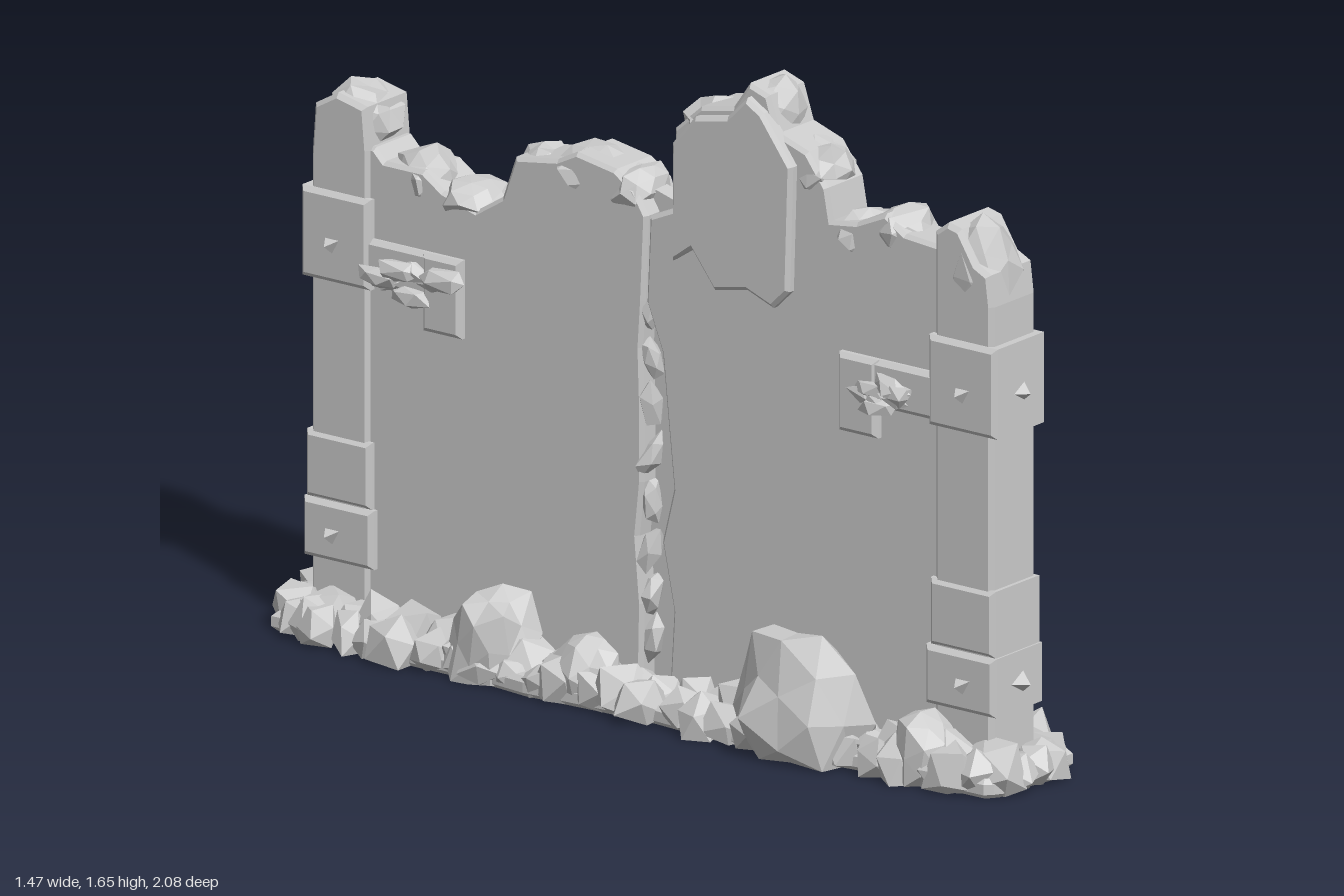
import * as THREE from 'three';

const stone = new THREE.MeshStandardMaterial({ color: 0xcccccc });
stone.name = 'pale grey stone';

let seed = 7;
const rnd = () => (seed = (seed * 16807) % 2147483647) / 2147483647;
const range = (a, b) => a + (b - a) * rnd();

export function createModel() {
  const model = new THREE.Group();
  model.name = 'ruinedWall';
  // Local x runs along the wall, local z through its thickness
  const wall = new THREE.Group();
  wall.name = 'wall';
  wall.rotation.y = -Math.atan2(0.844, 0.536);
  wall.position.set(-0.005, 0, -0.012);
  model.add(wall);

  const add = (name, geometry) => {
    const mesh = new THREE.Mesh(geometry, stone);
    mesh.name = name;
    wall.add(mesh);
    return mesh;
  };

  // Slab with chipped edges, between depths z0 and z1
  const slab = (name, points, z0, z1, bevel = 0.01) => {
    const shape = new THREE.Shape(points.map(([x, y]) => new THREE.Vector2(x, y)));
    const g = new THREE.ExtrudeGeometry(shape, {
      depth: z1 - z0 - 2 * bevel, bevelEnabled: bevel > 0, bevelThickness: bevel,
      bevelSize: bevel, bevelOffset: -bevel, bevelSegments: 1,
    });
    g.translate(0, 0, z0 + bevel);
    return add(name, g);
  };

  // Faceted stone: jittered icosahedron, flattened where it meets the ground
  const rock = (name, x, y, z, sx, sy, sz, detail = 0, rough = 0.3, tilt = 0.4) => {
    const g = new THREE.IcosahedronGeometry(1, detail);
    const p = g.attributes.position, v = new THREE.Vector3(), moved = {};
    const turn = new THREE.Euler(range(-tilt, tilt), range(-tilt, tilt), range(-tilt, tilt));
    const spin = new THREE.Euler(range(0, 3), range(0, 3), 0);
    for (let i = 0; i < p.count; i++) {
      v.fromBufferAttribute(p, i);
      const key = [v.x, v.y, v.z].map((n) => Math.round(n * 100)).join();
      moved[key] ??= range(1 - rough, 1 + rough * 0.5);
      v.multiplyScalar(moved[key]).applyEuler(spin);
      v.set(v.x * sx, v.y * sy, v.z * sz).applyEuler(turn);
      p.setXYZ(i, v.x + x, Math.max(0, v.y + y), v.z + z);
    }
    g.computeVertexNormals();
    return add(name, g);
  };

  // Broken skyline of the two halves
  const leftTop = [[-0.9, 1.25], [-0.86, 1.25], [-0.83, 1.22], [-0.71, 1.22], [-0.65, 1.18],
    [-0.55, 1.15], [-0.47, 1.2], [-0.43, 1.31], [-0.3, 1.33], [-0.24, 1.36], [-0.12, 1.34], [-0.06, 1.3]];
  const rightTop = [[0.05, 1.27], [0.06, 1.48], [0.14, 1.55], [0.24, 1.57], [0.29, 1.64], [0.35, 1.62],
    [0.38, 1.53], [0.47, 1.5], [0.53, 1.42], [0.545, 1.34], [0.62, 1.35], [0.71, 1.39], [0.77, 1.35], [0.9, 1.34]];
  slab('wallCore', [[-0.9, 0], ...leftTop, ...rightTop, [0.9, 0]], -0.025, 0.025, 0);

  // Crack lines: position, height, half gap
  const crackFront = [[0, 0, 0.04], [0.01, 0.25, 0.045], [-0.015, 0.42, 0.035], [0.01, 0.56, 0.045],
    [0.0, 0.75, 0.035], [-0.01, 0.9, 0.03], [-0.03, 1.02, 0.002], [-0.02, 1.24, 0.002]];
  const crackBack = [[0.13, 0, 0.03], [0.1, 0.3, 0.045], [0.06, 0.45, 0.035], [0.09, 0.62, 0.045],
    [0.04, 0.78, 0.05], [0, 1, 0.035], [-0.01, 1.25, 0.03]];
  const side = (crack, s) => crack.map(([x, y, gap]) => [x + s * gap, y]);
  const leftSkin = (crack) => [[-0.9, 0], ...leftTop, ...side(crack, -1).reverse()];
  slab('leftFrontFace', leftSkin(crackFront), 0, 0.077);
  slab('leftBackFace', leftSkin(crackBack), -0.077, 0);
  slab('rightFrontFace', [...side(crackFront, 1), ...rightTop, [0.9, 0]], 0, 0.075);
  slab('rightBackFace', [...side(crackBack, 1), ...rightTop.slice(0, 11), [0.64, 1.25], [0.83, 0.1], [0.84, 0]], -0.077, 0);
  slab('recessedBackFace', [[0.5, 0], [0.5, 1.3], ...rightTop.slice(10), [0.9, 0]], -0.045, 0);

  // Loose leaning slab at the back and thick masonry below the peak
  slab('leaningSlab', [[0.62, 1.25], [0.18, 1.1], [0.335, 0.31], [0.785, 0.53]], -0.105, -0.065, 0.015);
  slab('peakFacing', [[0.07, 1.15], [0.13, 1.19], [0.2, 1.1], [0.3, 1.12], [0.38, 1.09], [0.43, 1.14],
    [0.44, 1.46], [0.35, 1.58], [0.3, 1.61], [0.24, 1.55], [0.14, 1.53], [0.07, 1.45]], 0.05, 0.1);

  // Shards round the leaning slab
  for (const [x, y] of [[0.62, 1.12], [0.72, 0.6], [0.3, 0.76], [0.25, 1.08], [0.62, 0.95]])
    rock('shard', x, y, -0.095, 0.045, 0.05, 0.03);

  // Weathered stones along the skyline
  for (const [x, y, sx, sy] of [[-0.75, 1.19, 0.09, 0.07], [-0.6, 1.15, 0.09, 0.06], [-0.4, 1.26, 0.07, 0.08],
    [-0.24, 1.3, 0.1, 0.07], [-0.1, 1.28, 0.07, 0.07], [0.14, 1.48, 0.09, 0.08], [0.31, 1.55, 0.08, 0.1],
    [0.46, 1.44, 0.08, 0.08], [0.6, 1.3, 0.07, 0.07], [0.72, 1.33, 0.08, 0.07]])
    rock('topStone', x, y, 0, sx, sy, 0.09, 1, 0.2, 0.15);

  // Jagged stone lining in the crack
  for (let y = 0.15; y < 1.2; y += 0.12) {
    if (y < 1) rock('crackStone', -0.03, y, 0.045, 0.03, 0.07, 0.035);
    rock('crackStone', 0.12 - 0.13 * y, y, -0.05, 0.04, 0.07, 0.035);
  }

  // End columns with blocks, brackets, spikes and splinters
  const box = (name, x0, x1, y0, y1, h) => {
    const a = Math.min(x0, x1), b = Math.max(x0, x1);
    return slab(name, [[a, y0], [b, y0], [b, y1], [a, y1]], -h, h, 0.012);
  };
  const tops = {
    '-1': [[-1.05, 1.2], [-1.04, 1.33], [-0.97, 1.37], [-0.88, 1.35], [-0.87, 1.24]],
    1: [[0.87, 1.38], [0.91, 1.41], [0.95, 1.4], [1.0, 1.32], [1.04, 1.3], [1.05, 1.22]],
  };
  for (const s of [-1, 1]) {
    const top = tops[s];
    slab('column', [[top[0][0], 0], ...top, [top[top.length - 1][0], 0]], -0.088, 0.088, 0.012);
    rock('columnCap', s * 0.95, 1.29, 0, 0.1, s > 0 ? 0.14 : 0.1, 0.1, 1, 0.18, 0.1);
    box('columnBase', s * 0.85, s * 1.065, 0.18, 0.33, 0.102);
    box('columnBaseUpper', s * 0.86, s * 1.06, 0.33, 0.5, 0.097);
    box('columnBand', s * 0.86, s * 1.07, 0.89, 1.12, 0.103);
    box('bracketArm', s * 0.6, s * 0.9, 0.9, 1.02, 0.095);
    box('bracketHook', s * 0.58, s * 0.7, 0.82, 1.02, 0.1);
    for (const face of [-1, 1]) {
      for (let i = 0; i < 7; i++)
        rock('bracketSplinter', s * range(0.62, 0.86), range(0.9, 0.97), face * range(0.09, 0.115),
          range(0.05, 0.09), 0.03, 0.03, 0, 0.4);
      for (const y of [0.25, 0.99]) {
        const spike = add('spike', new THREE.ConeGeometry(0.03, 0.04, 3).toNonIndexed());
        spike.geometry.computeVertexNormals();
        spike.rotation.x = face * Math.PI / 2;
        spike.position.set(s * 0.97, y, face * 0.115);
      }
    }
    for (const y of [0.25, 0.99]) {
      const spike = add('endSpike', new THREE.ConeGeometry(0.035, 0.04, 3).toNonIndexed());
      spike.geometry.computeVertexNormals();
      spike.rotation.z = -s * Math.PI / 2;
      spike.position.set(s * 1.08, y, 0);
    }
  }

  // Ragged footing with rounded ends
  const onRim = (t, r) => {
    const a = t * Math.PI * 2, k = Math.cos(a);
    return [Math.sign(k) * 0.91 * Math.min(1, Math.abs(k) * 1.25) + r * k, r * Math.sign(Math.sin(a)) * Math.sqrt(Math.abs(Math.sin(a)))];
  };
  const rim = [];
  for (let i = 0; i < 44; i++) rim.push(onRim((i + 0.5) / 44, range(0.2, 0.235)));
  const footing = slab('footing', rim, 0, 0.05, 0.012);
  footing.rotation.x = -Math.PI / 2;

  // Rubble in two rows along both faces and round the ends
  const rubble = (x, z, size) =>
    rock('rubble', x, 0.035, z, size * range(0.9, 1.3), size * range(0.9, 1.4), size, 0, 0.25);
  for (const s of [-1, 1]) {
    for (let x = -0.95; x < 0.96; x += 0.085) {
      rubble(x + range(-0.02, 0.02), s * range(0.16, 0.19), range(0.05, 0.075));
      rubble(x + range(-0.02, 0.02), s * range(0.09, 0.13), range(0.07, 0.1));
    }
    for (let a = -1.3; a < 1.4; a += 0.32)
      rubble(s * (0.93 + 0.17 * Math.cos(a)), 0.17 * Math.sin(a), range(0.06, 0.085));
  }

  // Larger fallen boulders: along, across, half width, height, half depth
  for (const [x, z, w, h, d] of [[0.52, 0.16, 0.19, 0.33, 0.13], [-0.45, 0.14, 0.12, 0.25, 0.1],
    [-0.15, 0.14, 0.1, 0.18, 0.08], [0.61, -0.14, 0.09, 0.3, 0.09], [-0.22, -0.14, 0.11, 0.33, 0.09],
    [-0.5, -0.14, 0.1, 0.28, 0.09], [-0.74, -0.15, 0.09, 0.3, 0.09], [0.19, -0.14, 0.1, 0.22, 0.09],
    [0.88, 0.13, 0.1, 0.18, 0.09]])
    rock('boulder', x, h * 0.3, z, w, h * 0.72, d, 1, 0.2, 0.15);

  return model;
}
